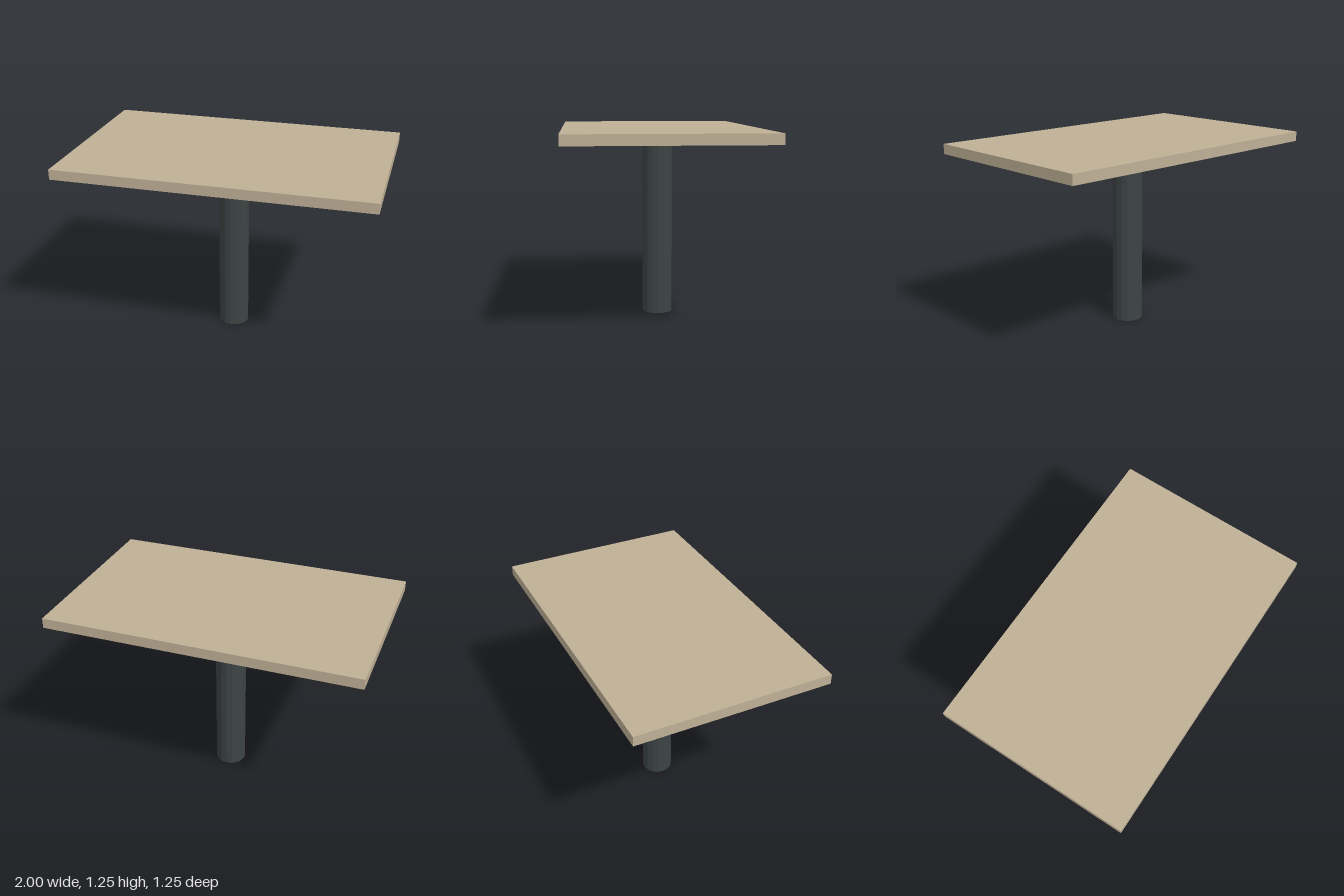
import * as THREE from 'three';

export function createModel() {
  const group = new THREE.Group();
  group.name = 'pedestalTable';

  const wood = new THREE.MeshStandardMaterial({ color: 0xbfb096 });
  wood.name = 'paleWood';
  const metal = new THREE.MeshStandardMaterial({ color: 0x3d4444, flatShading: true });
  metal.name = 'darkMetal';

  const width = 2, depth = 1.25, height = 1.25, thickness = 0.065;
  const legHeight = height - thickness;

  // Flat rectangular top
  const top = new THREE.Mesh(new THREE.BoxGeometry(width, thickness, depth), wood);
  top.name = 'tableTop';
  top.position.y = height - thickness / 2;

  // Single faceted central column
  const leg = new THREE.Mesh(new THREE.CylinderGeometry(0.1, 0.1, legHeight, 16), metal);
  leg.name = 'centralLeg';
  leg.position.y = legHeight / 2;

  group.add(top, leg);
  return group;
}
